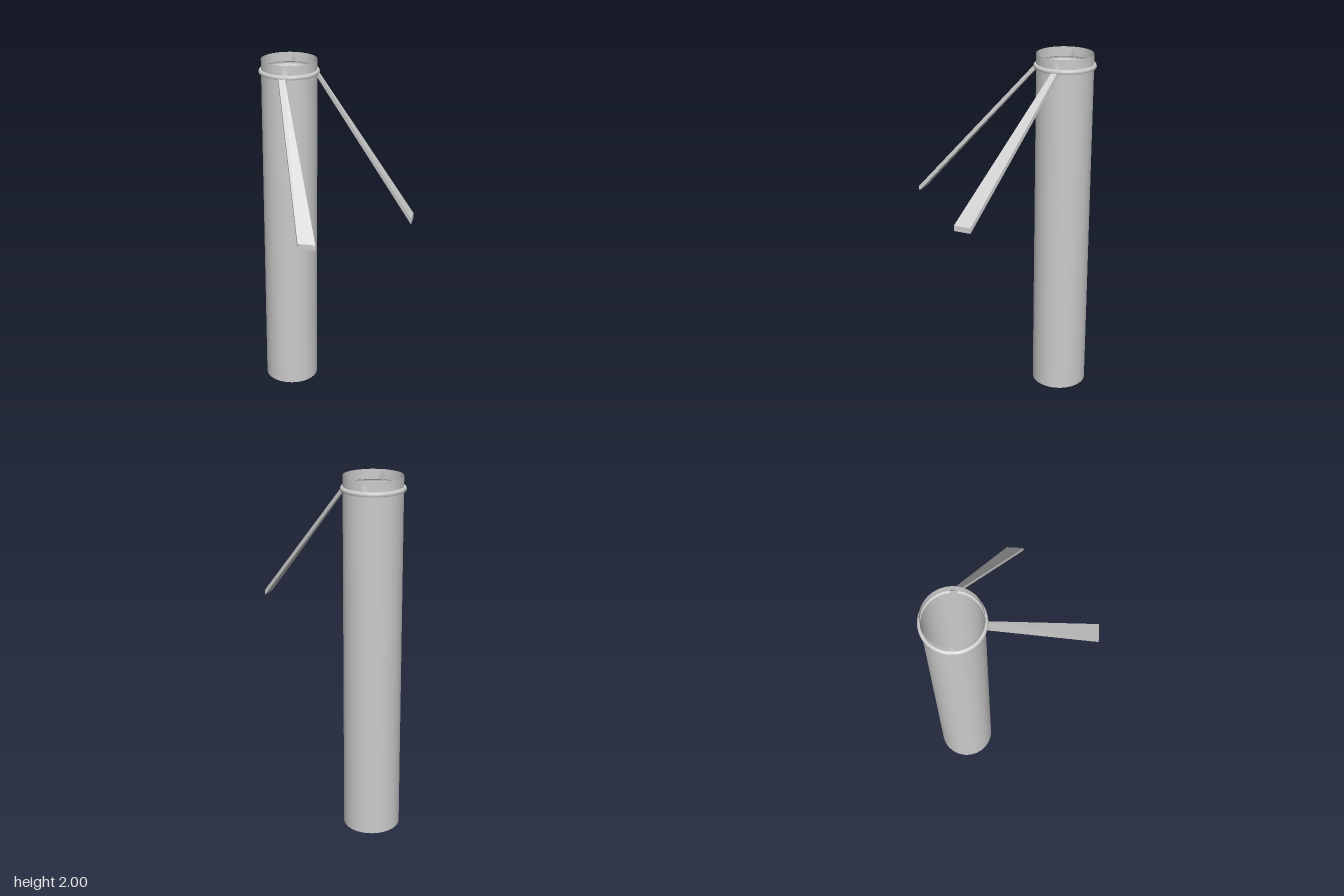
import * as THREE from 'three';
import { toCreasedNormals } from 'three/addons/utils/BufferGeometryUtils.js';

const grey = new THREE.MeshStandardMaterial({ color: 0xcccccc });
const greyDouble = new THREE.MeshStandardMaterial({ color: 0xcccccc, side: THREE.DoubleSide });

// Tapered bar of constant vertical thickness; each end is [left x,z] and [right x,z]
function taperedBar(name, footY, topY, thickness, foot, top) {
  const geometry = new THREE.BoxGeometry(1, 1, 1);
  const p = geometry.attributes.position;
  for (let i = 0; i < p.count; i++) {
    const end = p.getZ(i) > 0 ? foot : top;
    const [x, z] = end[p.getX(i) < 0 ? 0 : 1];
    const y = (p.getZ(i) > 0 ? footY : topY) - (p.getY(i) < 0 ? thickness : 0);
    p.setXYZ(i, x, y, z);
  }
  const flat = geometry.toNonIndexed();
  flat.computeVertexNormals();
  const mesh = new THREE.Mesh(flat, grey);
  mesh.name = name;
  return mesh;
}

export function createModel() {
  const model = new THREE.Group();
  model.name = 'tubeWithStruts';

  // Thin-walled tube: closed base, open top, raised bead pressed into the wall
  const R = 0.157, B = 0.171;
  const profile = [
    [0, 0], [R, 0], [R, 1.919], [B - 0.003, 1.922], [B, 1.929],
    [B, 1.935], [B - 0.003, 1.942], [R, 1.946], [R, 2],
  ].map(([r, y]) => new THREE.Vector2(r, y));
  const tube = new THREE.Mesh(
    toCreasedNormals(new THREE.LatheGeometry(profile, 48), 0.6), greyDouble);
  tube.name = 'tube';
  tube.position.set(0.069, 0, -0.304);
  model.add(tube);

  // Two struts widening from the bead down to their feet
  model.add(taperedBar('rightStrut', 1.23, 1.943, 0.03,
    [[-0.377, 0.34], [-0.317, 0.413]], [[-0.067, -0.226], [-0.047, -0.198]]));
  model.add(taperedBar('leftStrut', 1.23, 1.943, 0.03,
    [[0.301, 0.475], [0.375, 0.415]], [[0.162, -0.178], [0.186, -0.198]]));

  return model;
}
